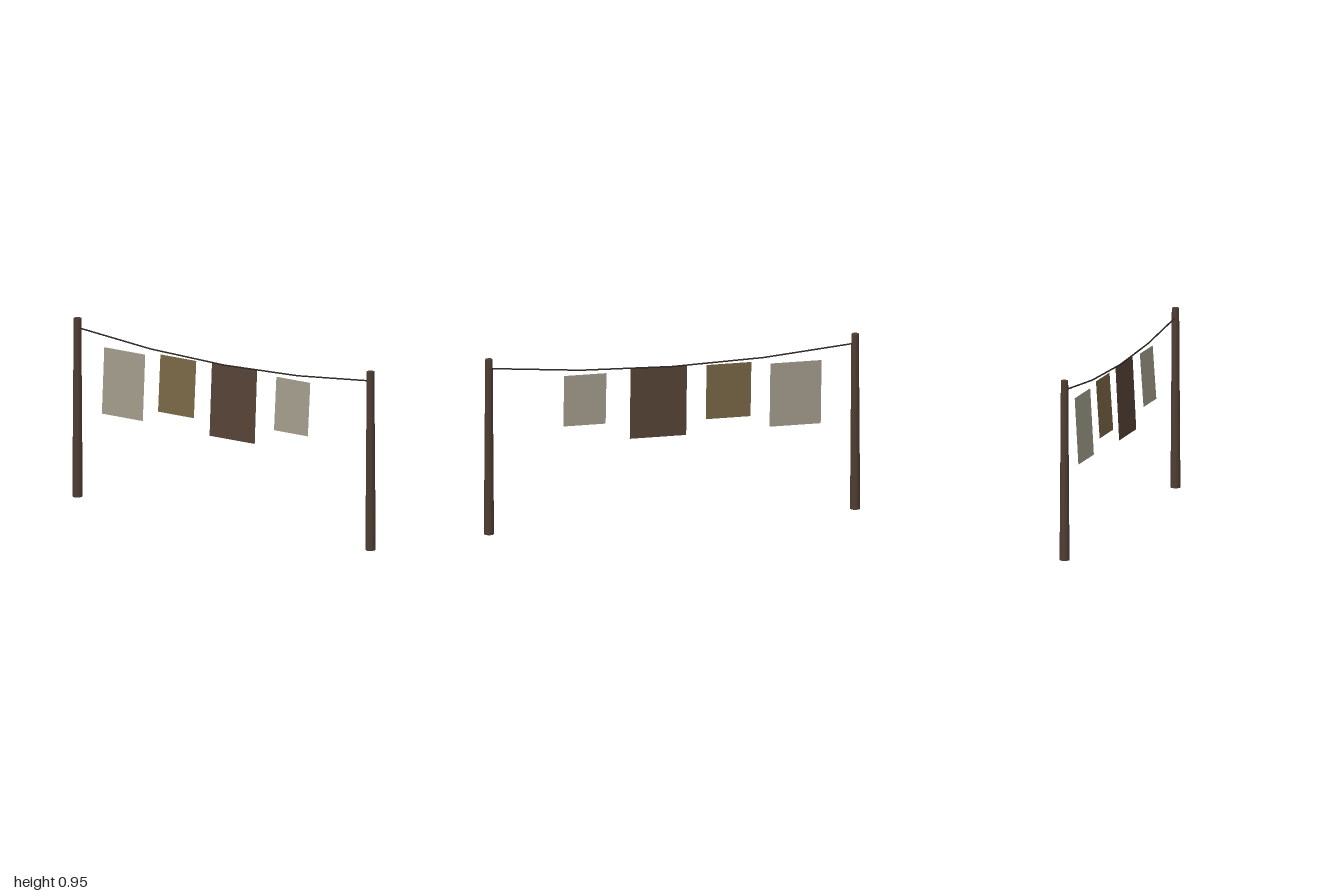
import * as THREE from 'three';

const mat = (name, color, side = THREE.FrontSide) => {
  const m = new THREE.MeshStandardMaterial({ color, side });
  m.name = name;
  return m;
};

export function createModel() {
  const model = new THREE.Group();
  model.name = 'clothesline';

  const wood = mat('dark wood', 0x4f3d32);
  const cord = mat('dark cord', 0x2c2722);
  const linen = mat('pale linen', 0xa09a89, THREE.DoubleSide);
  const ochre = mat('ochre cloth', 0x776545, THREE.DoubleSide);
  const brown = mat('brown cloth', 0x554236, THREE.DoubleSide);

  const add = (name, geometry, material) => {
    const mesh = new THREE.Mesh(geometry, material);
    mesh.name = name;
    model.add(mesh);
    return mesh;
  };

  // Tapered posts at both ends
  const postX = 0.973, postHeight = 0.95;
  for (const [name, s] of [['leftPost', 1], ['rightPost', -1]]) {
    const post = add(name, new THREE.CylinderGeometry(0.02, 0.027, postHeight, 8), wood);
    post.position.set(s * postX, postHeight / 2, 0);
  }

  // Sagging line made of four straight spans
  const line = new THREE.CurvePath();
  const points = [];
  for (let i = -2; i <= 2; i++) {
    const t = i / 2;
    points.push(new THREE.Vector3(t * postX, 0.841 + 0.058 * t * t, 0));
  }
  for (let i = 0; i < 4; i++) line.add(new THREE.LineCurve3(points[i], points[i + 1]));
  add('line', new THREE.TubeGeometry(line, 4, 0.004, 6), cord);

  // Hanging cloths: thin sheets whose lower edge swings forward
  const cloths = [
    ['wideLinenCloth', -0.795, -0.523, 0.82, 0.47, linen],
    ['ochreCloth', -0.422, -0.184, 0.836, 0.535, ochre],
    ['brownCloth', -0.08, 0.22, 0.845, 0.457, brown],
    ['smallLinenCloth', 0.348, 0.573, 0.83, 0.549, linen],
  ];
  const swing = 0.02;
  for (const [name, x0, x1, top, bottom, material] of cloths) {
    const height = top - bottom;
    const cloth = add(name, new THREE.PlaneGeometry(x1 - x0, Math.hypot(height, swing)), material);
    cloth.rotation.x = -Math.atan2(swing, height);
    cloth.position.set((x0 + x1) / 2, (top + bottom) / 2, swing / 2);
  }

  return model;
}
